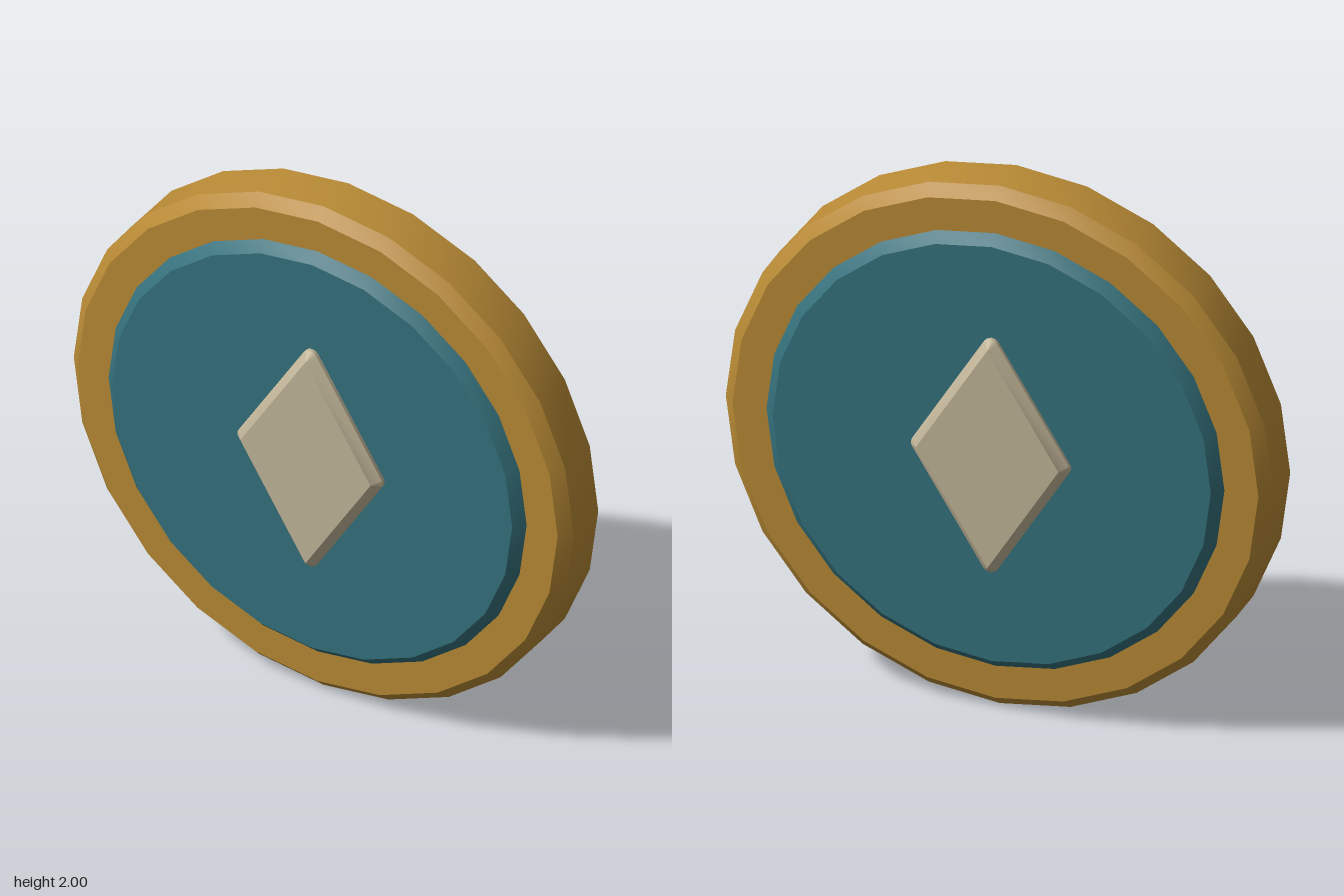
import * as THREE from 'three';
import { toCreasedNormals } from 'three/addons/utils/BufferGeometryUtils.js';

const CREASE = Math.PI / 6;

const material = (name, color) => {
  const m = new THREE.MeshStandardMaterial({ color });
  m.name = name;
  return m;
};

// 24-sided chamfered disc facing +z and -z, from half its profile (radius, depth)
function disc(half) {
  const front = half.map(([r, z]) => new THREE.Vector2(r, z));
  const back = half.map(([r, z]) => new THREE.Vector2(r, -z)).reverse();
  const geo = new THREE.LatheGeometry([...back, ...front], 24);
  geo.rotateX(Math.PI / 2);
  return toCreasedNormals(geo, CREASE);
}

// Bevelled diamond: sharp faces, with sides offset outward and rounded at the tips
function diamond(w, h, bevel, depth) {
  const inner = [], outer = [];
  const slope = Math.atan2(w, h); // direction of the upper right side's normal
  const corners = [[w, 0, 0, slope], [0, h, Math.PI / 2, Math.PI / 2 - slope],
    [-w, 0, Math.PI, slope], [0, -h, -Math.PI / 2, Math.PI / 2 - slope]];
  const steps = 4;
  for (const [x, y, mid, spread] of corners) {
    for (let i = 0; i <= steps; i++) {
      const a = mid + spread * (2 * i / steps - 1);
      inner.push([x, y]);
      outer.push([x + bevel * Math.cos(a), y + bevel * Math.sin(a)]);
    }
  }
  const n = inner.length;
  const rings = [[inner, -depth], [outer, bevel - depth], [outer, depth - bevel], [inner, depth]];
  const pos = [], index = [];
  for (const [ring, z] of rings) for (const [x, y] of ring) pos.push(x, y, z);
  for (let k = 0; k < 3; k++) {
    for (let i = 0; i < n; i++) {
      const a = k * n + i, b = k * n + (i + 1) % n;
      if (k > 0 || i % (steps + 1) === steps) index.push(a, b, b + n);
      if (k < 2 || i % (steps + 1) === steps) index.push(a, b + n, a + n);
      else if (k === 0) index.push(a, b + n, a + n);
    }
  }
  // Flat front and back faces through the four sharp corners
  const [p, q, r, s] = [0, 1, 2, 3].map((c) => c * (steps + 1));
  const f = 3 * n;
  index.push(f + p, f + q, f + r, f + p, f + r, f + s, p, r, q, p, s, r);
  const geo = new THREE.BufferGeometry();
  geo.setAttribute('position', new THREE.Float32BufferAttribute(pos, 3));
  geo.setIndex(index);
  return toCreasedNormals(geo, CREASE);
}

export function createModel() {
  const gold = material('gold', 0xb88a35);
  const teal = material('teal', 0x35717c);
  const cream = material('cream', 0xc2b699);

  const group = new THREE.Group();
  group.name = 'medallion';
  const add = (name, geo, mat) => {
    const mesh = new THREE.Mesh(geo, mat);
    mesh.name = name;
    mesh.position.y = 1;
    group.add(mesh);
  };

  add('rim', disc([[1, 0.08], [0.96, 0.12], [0.75, 0.12]]), gold);
  add('panel', disc([[0.84, 0.116], [0.8, 0.156], [0, 0.156]]), teal);
  add('diamondEmblem', diamond(0.26, 0.42, 0.03, 0.2), cream);
  return group;
}
